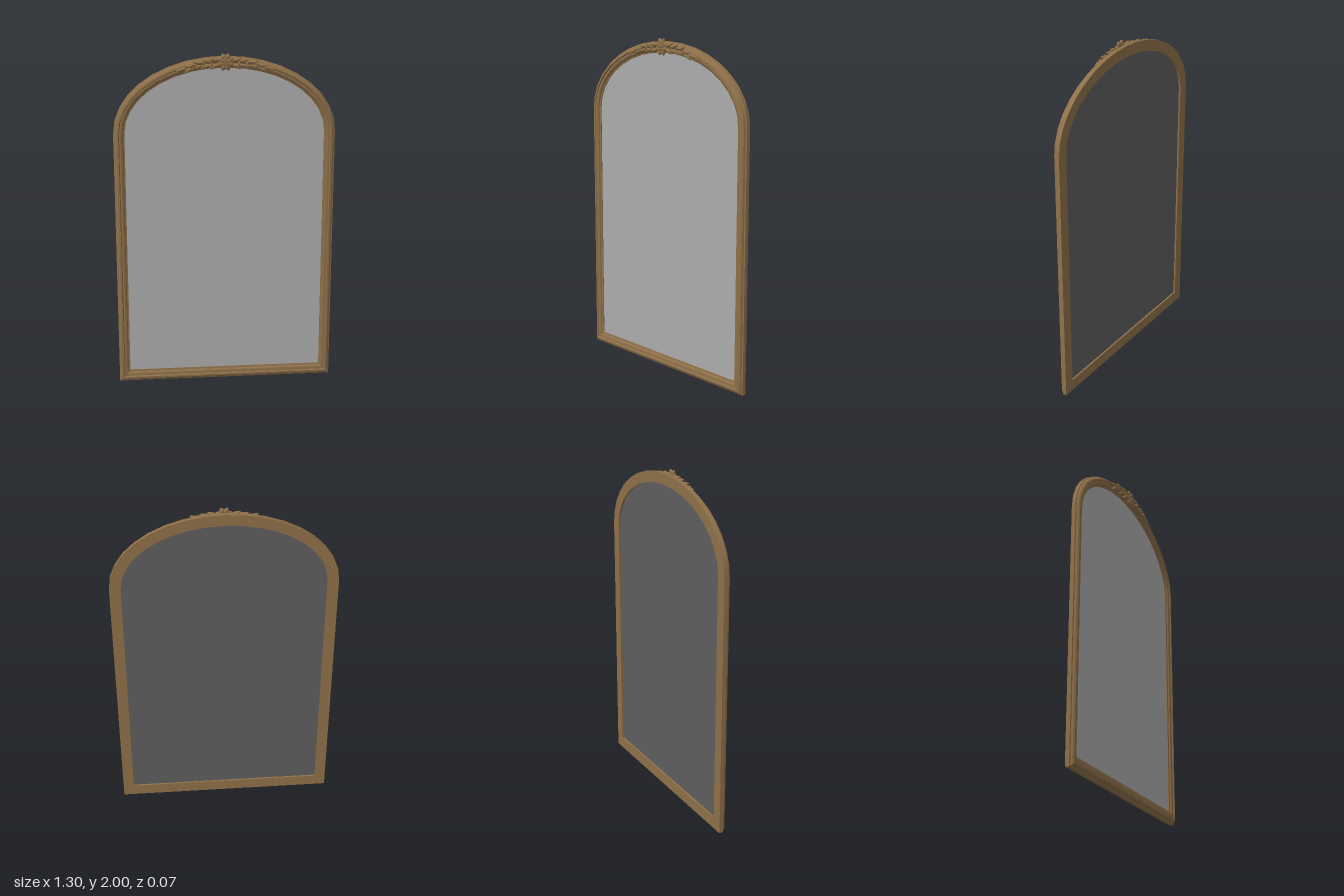
import * as THREE from 'three';
import { toCreasedNormals } from 'three/addons/utils/BufferGeometryUtils.js';

const ARCH_Y = 1.54;
const ARCH_STEPS = 18;
const WIDTH = 0.065;

// Frame section: [distance inward from the outer edge, z]
const PROFILE = [
  [0, -0.035], [0, -0.011], [0.007, -0.008], [0.010, 0.003], [0.018, 0.010],
  [0.029, 0.012], [0.034, 0.005], [0.043, 0.006], [0.052, 0.002],
  [0.056, -0.006], [0.065, -0.009], [0.065, -0.035],
];

// Arched outline, counterclockwise, d inward from the outer edge
function outline(d) {
  const a = 0.65 - d, b = 0.44 - d;
  const pts = [new THREE.Vector2(-a, d * 1.08), new THREE.Vector2(a, d * 1.08)];
  for (let i = 0; i <= ARCH_STEPS; i++) {
    const t = (i / ARCH_STEPS) * Math.PI;
    pts.push(new THREE.Vector2(a * Math.cos(t), ARCH_Y + b * Math.sin(t)));
  }
  return pts;
}

// Sweep the section round the outline with mitred corners
function frameGeometry() {
  const rings = PROFILE.map(([d, z]) => outline(d).map(p => [p.x, p.y, z]));
  const pos = [];
  const n = rings[0].length, m = rings.length;
  for (let j = 0; j < m; j++) {
    const r0 = rings[j], r1 = rings[(j + 1) % m];
    for (let i = 0; i < n; i++) {
      const k = (i + 1) % n;
      pos.push(...r0[i], ...r0[k], ...r1[k], ...r0[i], ...r1[k], ...r1[i]);
    }
  }
  const g = new THREE.BufferGeometry();
  g.setAttribute('position', new THREE.Float32BufferAttribute(pos, 3));
  return toCreasedNormals(g, 0.5);
}

// Pointed leaf lying along x, bending upward by curl, with a central ridge
function leafGeometry(length, width, depth, curl = 0) {
  const g = new THREE.SphereGeometry(1, 8, 8);
  g.rotateZ(Math.PI / 2);
  const p = g.attributes.position;
  for (let i = 0; i < p.count; i++) {
    const x = p.getX(i);
    const taper = 1 - 0.45 * Math.max(0, x);
    p.setXYZ(i, x * length / 2, p.getY(i) * width / 2 * taper + curl * x * x, p.getZ(i) * depth / 2);
  }
  g.computeVertexNormals();
  return g;
}

export function createModel() {
  const model = new THREE.Group();
  const wood = new THREE.MeshStandardMaterial({ color: 0x8e7049 });
  wood.name = 'antique bronze';
  const glass = new THREE.MeshStandardMaterial({ color: 0xacacac });
  glass.name = 'mirror grey';
  const board = new THREE.MeshStandardMaterial({ color: 0x5e5e5e });
  board.name = 'backing grey';

  const add = (parent, name, geometry, material, x = 0, y = 0, z = 0, turn = 0) => {
    const mesh = new THREE.Mesh(geometry, material);
    mesh.name = name;
    mesh.position.set(x, y, z);
    mesh.rotation.z = turn;
    parent.add(mesh);
    return mesh;
  };

  add(model, 'frame', frameGeometry(), wood);

  // Mirror pane and the backing behind it
  const pane = new THREE.Shape(outline(WIDTH - 0.002));
  add(model, 'mirrorPane', new THREE.ShapeGeometry(pane), glass, 0, 0, -0.014);
  add(model, 'backing', new THREE.ShapeGeometry(pane).rotateY(Math.PI), board, 0, 0, -0.024);

  const crest = new THREE.Group();
  crest.name = 'crest';
  model.add(crest);

  // Central flower
  const cy = 1.95;
  for (let i = 0; i < 8; i++) {
    const t = (i + 0.5) / 8 * Math.PI * 2;
    add(crest, 'outerPetal', leafGeometry(0.042, 0.036, 0.022), wood,
      Math.cos(t) * 0.031, cy + Math.sin(t) * 0.031, 0.016, t);
  }
  for (let i = 0; i < 5; i++) {
    const t = i / 5 * Math.PI * 2 + 0.3;
    add(crest, 'innerPetal', leafGeometry(0.024, 0.02, 0.018), wood,
      Math.cos(t) * 0.015, cy + Math.sin(t) * 0.015, 0.024, t);
  }
  add(crest, 'flowerCentre', new THREE.SphereGeometry(0.009, 8, 6), wood, 0, cy, 0.026);

  // Leaves and scrolls: x, rise from the arch, length, width, turn, curl
  const LEAVES = [
    [0.066, 0.018, 0.055, 0.026, 0.35, 0.005],
    [0.066, -0.018, 0.055, 0.026, -0.35, -0.005],
    [0.105, 0.016, 0.06, 0.022, 0.15, 0.008],
    [0.115, -0.014, 0.07, 0.022, -0.25, -0.006],
    [0.160, 0.014, 0.06, 0.022, 0.3, 0.007],
    [0.165, -0.010, 0.07, 0.024, -0.15, -0.006],
    [0.205, 0.004, 0.07, 0.022, 0.1, 0.006],
    [0.215, -0.016, 0.055, 0.018, -0.35, -0.005],
    [0.250, -0.002, 0.075, 0.016, -0.05, 0.004],
  ];
  const SCROLLS = [[0.092, 0, 0.014], [0.138, 0.002, 0.012], [0.185, 0, 0.009]];
  const archY = x => ARCH_Y + 0.406 * Math.sqrt(1 - (x / 0.616) ** 2);

  for (const side of [1, -1]) {
    const spray = new THREE.Group();
    spray.name = side > 0 ? 'leftSpray' : 'rightSpray';
    spray.rotation.y = side > 0 ? 0 : Math.PI;
    crest.add(spray);
    for (const [x, rise, length, width, turn, curl] of LEAVES) {
      const slope = -0.66 * x / 0.616;
      const depth = 0.026 - 0.03 * Math.max(0, x - 0.1);
      add(spray, 'leaf', leafGeometry(length, width, depth, curl), wood,
        x, archY(x) + rise, side * 0.016, turn + slope);
    }
    for (const [x, rise, r] of SCROLLS) {
      add(spray, 'scroll', new THREE.TorusGeometry(r, 0.006, 6, 12, 5), wood,
        x, archY(x) + rise, side * 0.024, 0.6);
    }
  }
  return model;
}
